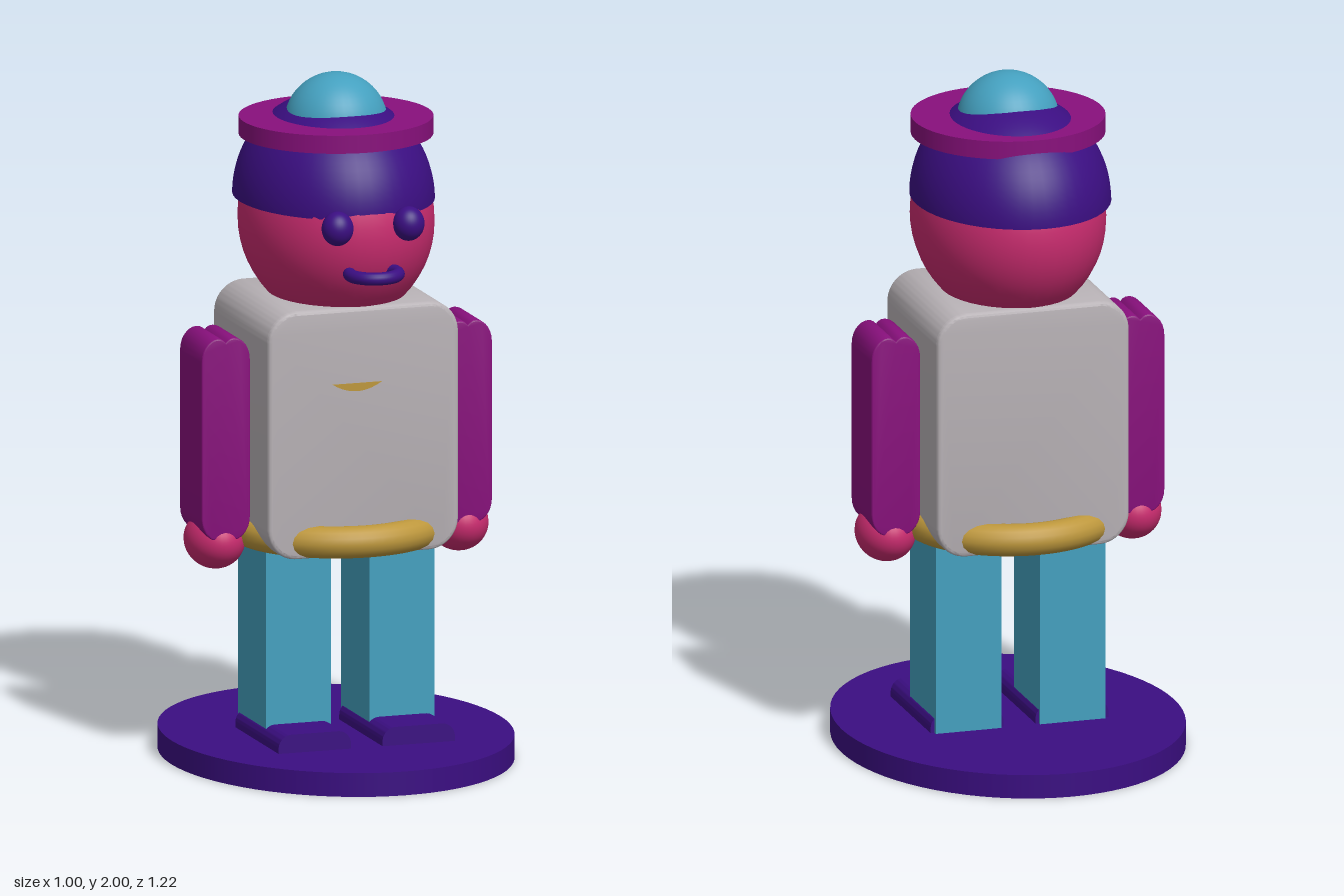
import * as THREE from 'three';
import { toCreasedNormals } from 'three/addons/utils/BufferGeometryUtils.js';

function material(name, color, side = THREE.FrontSide) {
  const m = new THREE.MeshStandardMaterial({ color, side });
  m.name = name;
  return m;
}

// Rounded outline centred on the origin
function roundedShape(w, h, r) {
  const x = w / 2, y = h / 2;
  const s = new THREE.Shape();
  s.moveTo(x, -y + r);
  s.absarc(x - r, y - r, r, 0, Math.PI / 2);
  s.absarc(-x + r, y - r, r, Math.PI / 2, Math.PI);
  s.absarc(-x + r, -y + r, r, Math.PI, Math.PI * 1.5);
  s.absarc(x - r, -y + r, r, Math.PI * 1.5, Math.PI * 2);
  return s;
}

// Arm outline with two lobes and a shallow groove at each end
function lobedShape(w, h) {
  const x = w / 2, y = h / 2, notch = y - 0.016, e = y - 0.07;
  const s = new THREE.Shape();
  s.moveTo(x, -e);
  s.lineTo(x, e);
  s.bezierCurveTo(x, y - 0.01, 0.02, y + 0.014, 0, notch);
  s.bezierCurveTo(-0.02, y + 0.014, -x, y - 0.01, -x, e);
  s.lineTo(-x, -e);
  s.bezierCurveTo(-x, -y + 0.01, -0.02, -y - 0.014, 0, -notch);
  s.bezierCurveTo(0.02, -y - 0.014, x, -y + 0.01, x, -e);
  return s;
}

// Extrusion along z, centred, with smooth curved edges
function slab(shape, depth, bevel = 0) {
  const g = new THREE.ExtrudeGeometry(shape, {
    depth: depth - 2 * bevel, curveSegments: 10, bevelEnabled: bevel > 0,
    bevelSize: bevel, bevelThickness: bevel, bevelOffset: -bevel, bevelSegments: 3,
  });
  g.translate(0, 0, -depth / 2 + bevel);
  return toCreasedNormals(g, 0.6);
}

export function createModel() {
  const model = new THREE.Group();
  const indigo = material('indigo', 0x3b0e82, THREE.DoubleSide);
  const magenta = material('magenta', 0x88107c);
  const pink = material('pink', 0xc82b6e);
  const teal = material('teal', 0x44a0bf);
  const grey = material('warm grey', 0xb8b2b6);
  const gold = material('gold', 0xbd973c);

  function add(name, geometry, mat, x, y, z) {
    const mesh = new THREE.Mesh(geometry, mat);
    mesh.name = name;
    mesh.position.set(x, y, z);
    model.add(mesh);
    return mesh;
  }
  const ball = (rx, ry, rz) => new THREE.SphereGeometry(1, 40, 28).scale(rx, ry, rz);
  const ring = (R, r) => new THREE.TorusGeometry(R, r, 16, 64).rotateX(Math.PI / 2);

  // Oval stand
  add('stand', new THREE.CylinderGeometry(1, 1, 0.07, 72).scale(0.5, 1, 0.61), indigo, 0, 0.035, 0);

  // Torso, belt and chest mark
  add('torso', slab(roundedShape(0.58, 0.73, 0.09), 0.485, 0.012), grey, 0, 0.995, 0);
  add('belt', ring(0.278, 0.047), gold, 0, 0.678, 0);
  const mark = new THREE.Shape();
  mark.moveTo(-0.075, 0.008);
  mark.lineTo(0.075, 0.008);
  mark.quadraticCurveTo(0, -0.04, -0.075, 0.008);
  add('chestMark', slab(mark, 0.004), gold, -0.02, 1.13, 0.242);

  // Limbs, mirrored
  for (const [side, s] of [['left', 1], ['right', -1]]) {
    add(side + 'Leg', new THREE.BoxGeometry(0.198, 0.58, 0.247), teal, s * 0.157, 0.36, 0.002);
    add(side + 'Shoe', slab(roundedShape(0.22, 0.11, 0.04), 0.38), indigo, s * 0.158, 0.069, 0.08);
    add(side + 'Arm', slab(lobedShape(0.147, 0.6), 0.195, 0.004), magenta, s * 0.368, 0.966, 0);
    add(side + 'Hand', ball(0.086, 0.085, 0.108), pink, s * 0.37, 0.655, 0);
    add(side + 'Eye', ball(0.046, 0.05, 0.045), indigo, s * 0.108, 1.615, 0.325);
  }

  // Head, mouth and hair
  add('head', ball(0.277, 0.302, 0.335), pink, 0, 1.575, 0);
  add('mouth', ring(0.07, 0.019), indigo, 0, 1.476, 0.332);
  const hair = new THREE.SphereGeometry(1, 48, 20, 0, Math.PI * 2, 0, Math.PI / 2).scale(0.284, 0.3, 0.347);
  add('hair', hair, indigo, 0, 1.635, -0.022);

  // Hat brim and crown
  add('hatBrim', new THREE.CylinderGeometry(0.28, 0.28, 0.053, 64), magenta, 0, 1.848, 0);
  add('hatCrown', ball(0.15, 0.15, 0.15), teal, 0, 1.85, 0);

  return model;
}
